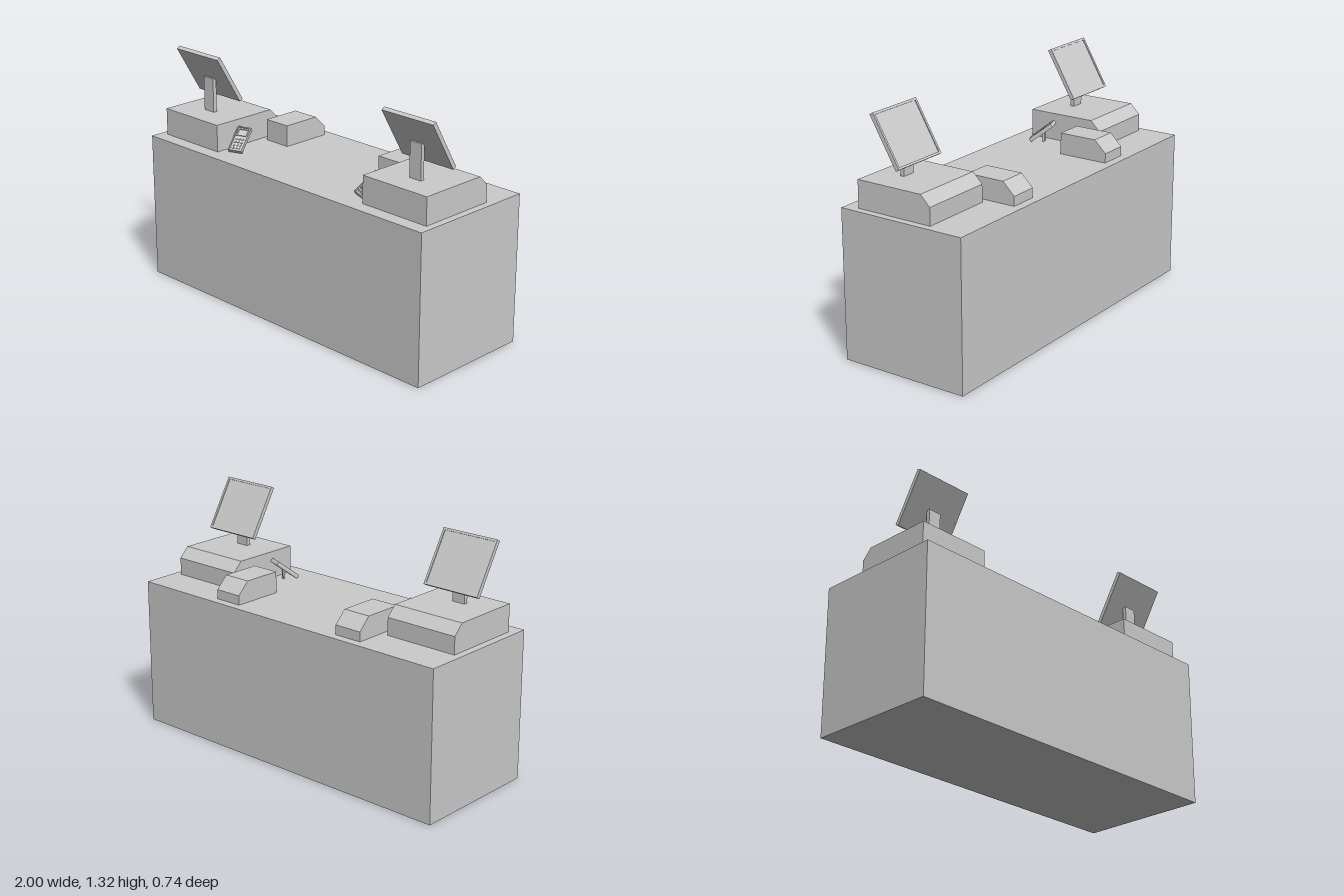
import * as THREE from 'three';

const material = new THREE.MeshStandardMaterial({ color: 0xcccccc, flatShading: true });

function add(parent, name, geometry, x = 0, y = 0, z = 0) {
  const mesh = new THREE.Mesh(geometry, material);
  mesh.name = name;
  mesh.position.set(x, y, z);
  parent.add(mesh);
  return mesh;
}

const box = (w, h, d) => new THREE.BoxGeometry(w, h, d);

// Block with a sloped upper back edge: side profile of [z, y] points swept along x
function profileBlock(points, width) {
  const shape = new THREE.Shape(points.map(([z, y]) => new THREE.Vector2(-z, y)));
  const geometry = new THREE.ExtrudeGeometry(shape, { depth: width, bevelEnabled: false });
  return geometry.translate(0, 0, -width / 2).rotateY(Math.PI / 2);
}

// Rectangular rim with an open middle, centred on the origin, facing z
function rim(w, h, border, depth) {
  const rect = (Type, a, b) => new Type([
    new THREE.Vector2(-a, -b), new THREE.Vector2(a, -b),
    new THREE.Vector2(a, b), new THREE.Vector2(-a, b)]);
  const shape = rect(THREE.Shape, w / 2, h / 2);
  shape.holes.push(rect(THREE.Path, w / 2 - border, h / 2 - border));
  return new THREE.ExtrudeGeometry(shape, { depth, bevelEnabled: false }).translate(0, 0, -depth / 2);
}

// Tilted display whose screen faces the back (-z) and up
function createMonitor() {
  const monitor = new THREE.Group();
  monitor.name = 'monitor';
  add(monitor, 'monitorFrame', rim(0.333, 0.304, 0.012, 0.023));
  add(monitor, 'monitorPanel', box(0.311, 0.282, 0.018), 0, 0, 0.0025);
  monitor.rotation.x = THREE.MathUtils.degToRad(30.5);
  return monitor;
}

// Hand-sized card reader with a screen and keypad on its upper face
function createTerminal() {
  const terminal = new THREE.Group();
  terminal.name = 'cardTerminal';
  add(terminal, 'terminalBody', box(0.08, 0.016, 0.155), 0, -0.003, 0);
  add(terminal, 'terminalRim', rim(0.08, 0.155, 0.006, 0.006).rotateX(-Math.PI / 2), 0, 0.008, 0);
  add(terminal, 'terminalScreenFrame', rim(0.06, 0.045, 0.005, 0.005).rotateX(-Math.PI / 2), 0, 0.0075, -0.043);
  for (let row = 0; row < 4; row++)
    for (let col = -1; col <= 1; col++)
      add(terminal, 'terminalKey', box(0.011, 0.004, 0.009), col * 0.019, 0.007, 0.001 + row * 0.019);
  return terminal;
}

export function createModel() {
  const model = new THREE.Group();
  model.name = 'checkoutCounter';
  add(model, 'counter', box(2, 0.82, 0.735), 0, 0.41, 0);

  for (const side of [-1, 1]) {
    const station = new THREE.Group();
    station.name = side > 0 ? 'leftStation' : 'rightStation';
    model.add(station);

    // Register base and receipt printer
    add(station, 'register', profileBlock(
      [[0.29, 0.82], [-0.155, 0.82], [-0.155, 0.915], [-0.1, 0.97], [0.29, 0.97]], 0.42), side * 0.75);
    add(station, 'receiptPrinter', profileBlock(
      [[-0.035, 0.82], [-0.32, 0.82], [-0.32, 0.872], [-0.253, 0.938], [-0.035, 0.938]], 0.16), side * 0.42);

    // Monitor on its post
    add(station, 'monitorPost', box(0.075, 0.19, 0.022), side * 0.76, 1.065, 0.142);
    const monitor = createMonitor();
    monitor.position.set(side * 0.765, 1.179, 0.138);
    station.add(monitor);

    // Card terminal turned toward the middle of the counter, on a small stand
    const terminal = createTerminal();
    terminal.position.set(side * 0.481, 0.877, 0.18);
    terminal.rotation.set(THREE.MathUtils.degToRad(38), THREE.MathUtils.degToRad(-20 * side), 0, 'YXZ');
    station.add(terminal);
    const stand = add(station, 'terminalStand', box(0.018, 0.052, 0.012), side * 0.483, 0.845, 0.172);
    stand.rotation.y = terminal.rotation.y;
  }
  return model;
}
